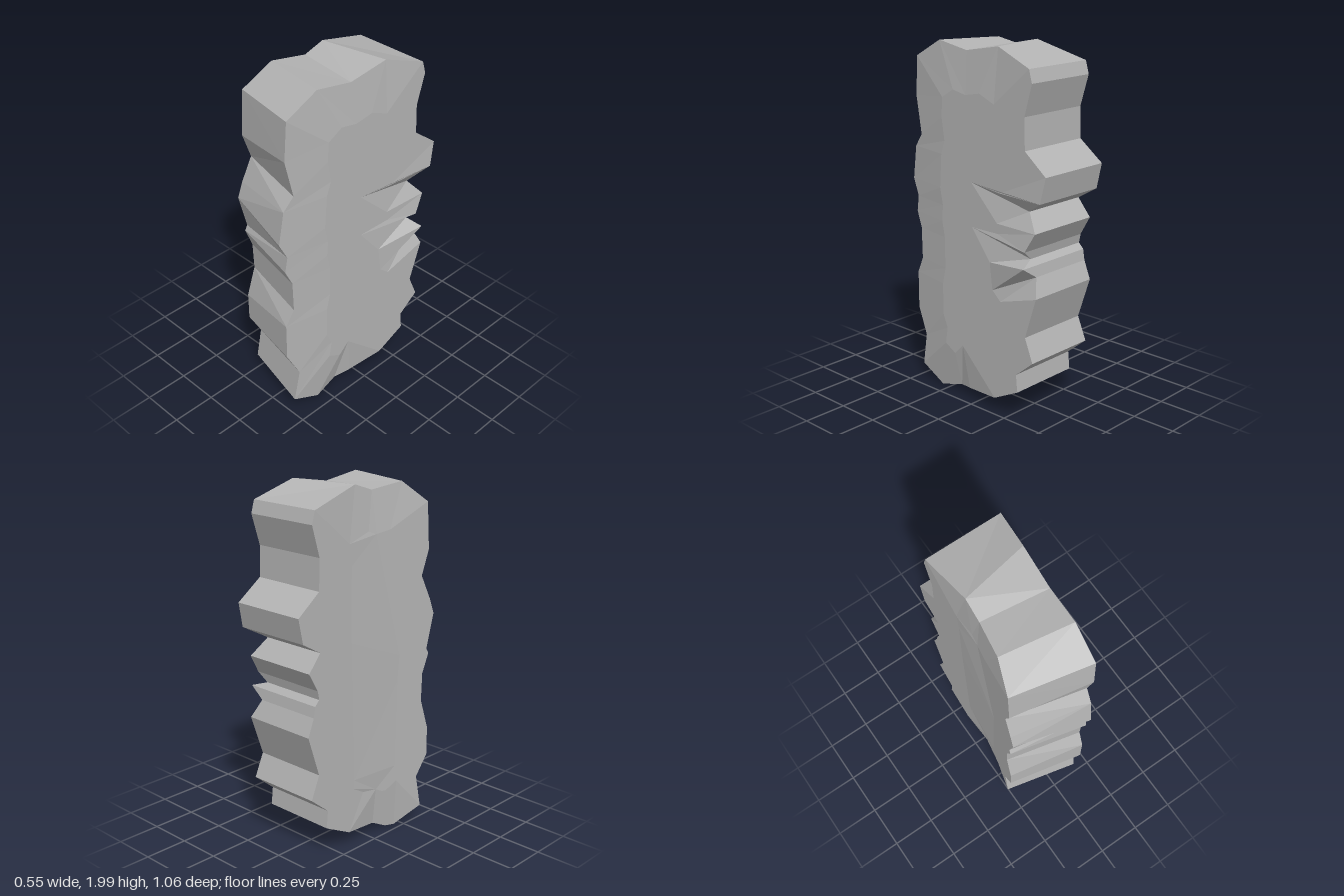
import * as THREE from 'three';

// Outline of the slab, counter-clockwise seen from +x: z, y, and optional
// x (own depth), cleft (inner z, y of a crack), mz / my (far-side shift)
const rows = [
  { z: 0.29, y: 1.99, my: -0.01 }, { z: 0.48, y: 1.89, my: -0.03 }, { z: 0.495, y: 1.67, my: -0.07 },
  { z: 0.45, y: 1.46 }, { z: 0.51, y: 1.385, my: -0.06 }, { z: 0.54, y: 1.195, my: 0.04 },
  { z: 0.495, y: 1.10, my: -0.06 }, { z: 0.51, y: 1.01 }, { z: 0.47, y: 0.92, my: -0.02 },
  { z: 0.465, y: 0.74 }, { z: 0.515, y: 0.645, my: -0.08 }, { z: 0.515, y: 0.43, my: -0.03 },
  { z: 0.44, y: 0.28 }, { z: 0.475, y: 0.09 }, { z: 0.305, y: 0.01, mz: -0.03 },
  { z: 0.16, y: 0.05, x: 0.16, mz: 0.02, my: -0.03, cleft: [0.10, 0.32] },
  { z: 0.07, y: 0.065 }, { z: -0.155, y: 0.09 }, { z: -0.33, y: 0.18 }, { z: -0.32, y: 0.28 },
  { z: -0.44, y: 0.38 }, { z: -0.385, y: 0.51 }, { z: -0.46, y: 0.74, cleft: [-0.2, 0.66] },
  { z: -0.42, y: 0.84, x: 0.19, cleft: [-0.14, 0.71] },
  { z: -0.41, y: 0.90, x: 0.28, cleft: [-0.12, 0.86] },
  { z: -0.38, y: 0.93, x: 0.19, cleft: [0.015, 1.025] },
  { z: -0.39, y: 0.98, x: 0.25, cleft: [-0.18, 1.03] },
  { z: -0.45, y: 1.085 }, { z: -0.37, y: 1.18, x: 0.19, cleft: [0.02, 1.27] },
  { z: -0.49, y: 1.25, x: 0.25 }, { z: -0.52, y: 1.39 }, { z: -0.375, y: 1.50 },
  { z: -0.37, y: 1.67 }, { z: -0.42, y: 1.84 }, { z: -0.40, y: 1.91 },
  { z: -0.16, y: 1.995, mz: 0.07 }, { z: 0.075, y: 1.955, mz: -0.03 },
];

const clamp = THREE.MathUtils.clamp;
const endTaper = (y) => (y > 1.94 || y < 0.07 ? 0.025 : 0);

// Depth of the two broad faces: the slab bends along z
const nearX = (z) => (z > 0.28 ? 0.2 - (z - 0.28) * 0.2 : 0.216 - z * 0.05);
const farX = (z) => -0.2 - clamp(z, 0, 0.45) * 0.17;

// Point pulled in from the outline towards the middle of a broad face
function inset(z, y) {
  const t = y - 1, a = Math.abs(t);
  return [0.05 + (z - 0.05) * 0.45, 1 + Math.sign(t) * (a < 0.5 ? a : 0.5 + (a - 0.5) * 0.5)];
}

function rockGeometry() {
  const near = [], nearIn = [], far = [], farIn = [];
  for (const r of rows) {
    near.push([r.x ?? nearX(r.z) - endTaper(r.y), r.y, r.z]);
    const [iz, iy] = r.cleft ?? inset(r.z, r.y);
    nearIn.push([nearX(iz), iy, iz]);
    const fz = r.z - 0.1 * clamp(r.z / 0.45, 0, 1) + (r.mz ?? 0);
    const fy = r.y + (r.my ?? 0);
    far.push([farX(fz) + endTaper(r.y), fy, fz]);
    const [jz, jy] = inset(fz, fy);
    farIn.push([farX(jz), jy, jz]);
  }
  const out = [];
  const tri = (a, b, c) => out.push(...a, ...b, ...c);
  const n = rows.length;
  for (let i = 0; i < n; i++) {
    const j = (i + 1) % n;
    // Ridged rim, with alternating diagonals
    if (i % 2) { tri(near[i], far[i], near[j]); tri(near[j], far[i], far[j]); }
    else { tri(near[i], far[i], far[j]); tri(near[i], far[j], near[j]); }
    // Outer bands of the broad faces
    tri(near[i], near[j], nearIn[i]);
    tri(near[j], nearIn[j], nearIn[i]);
    tri(far[j], far[i], farIn[i]);
    tri(far[j], farIn[i], farIn[j]);
  }
  // Centres of the broad faces
  const fill = (ring, side) => {
    const flat = ring.map((p) => new THREE.Vector2(-p[2], p[1]));
    for (const [a, b, c] of THREE.ShapeUtils.triangulateShape(flat, [])) {
      const area = (flat[b].x - flat[a].x) * (flat[c].y - flat[a].y)
        - (flat[b].y - flat[a].y) * (flat[c].x - flat[a].x);
      if (area * side > 0) tri(ring[a], ring[b], ring[c]);
      else tri(ring[a], ring[c], ring[b]);
    }
  };
  fill(nearIn, 1);
  fill(farIn, -1);

  const g = new THREE.BufferGeometry();
  g.setAttribute('position', new THREE.Float32BufferAttribute(out, 3));
  g.computeVertexNormals(); // unshared corners give flat facets
  return g;
}

export function createModel() {
  const stone = new THREE.MeshStandardMaterial({ color: 0xb3b3b3 });
  stone.name = 'stone grey';
  const rock = new THREE.Mesh(rockGeometry(), stone);
  rock.name = 'rockSlab';
  const group = new THREE.Group();
  group.name = 'standingRock';
  group.add(rock);
  return group;
}
